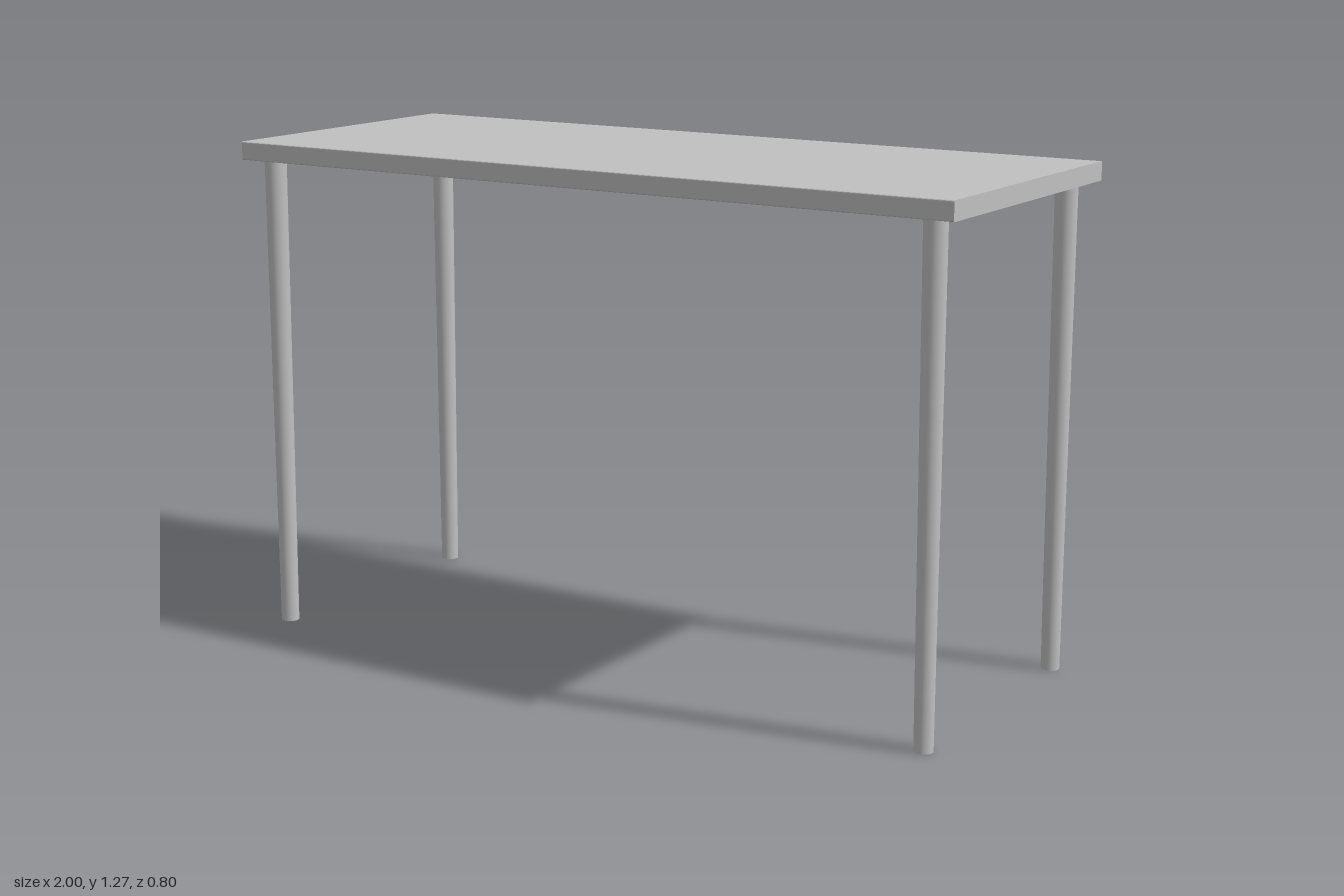
import * as THREE from 'three';

const LENGTH = 2, DEPTH = 0.8, HEIGHT = 1.267, THICKNESS = 0.047;
const UNDERSIDE = HEIGHT - THICKNESS;

// Slab profile with slightly eased long edges, extruded along the length
function tabletopGeometry() {
  const w = DEPTH / 2, h = THICKNESS / 2, r = 0.004;
  const s = new THREE.Shape();
  s.moveTo(-w + r, -h);
  s.lineTo(w - r, -h);
  s.quadraticCurveTo(w, -h, w, -h + r);
  s.lineTo(w, h - r);
  s.quadraticCurveTo(w, h, w - r, h);
  s.lineTo(-w + r, h);
  s.quadraticCurveTo(-w, h, -w, h - r);
  s.lineTo(-w, -h + r);
  s.quadraticCurveTo(-w, -h, -w + r, -h);
  const geo = new THREE.ExtrudeGeometry(s, { depth: LENGTH, bevelEnabled: false, curveSegments: 4 });
  return geo.translate(0, 0, -LENGTH / 2).rotateY(Math.PI / 2);
}

export function createModel() {
  const table = new THREE.Group();
  table.name = 'table';
  const grey = new THREE.MeshStandardMaterial({ color: 0xc0c0c0 });
  grey.name = 'light grey';

  const top = new THREE.Mesh(tabletopGeometry(), grey);
  top.name = 'tabletop';
  top.position.y = UNDERSIDE + THICKNESS / 2;
  table.add(top);

  // Four round legs, tapering gently to the floor
  const legGeometry = new THREE.CylinderGeometry(0.028, 0.023, UNDERSIDE, 32);
  for (const [side, x] of [['Left', 0.933], ['Right', -0.933]]) {
    for (const [end, z] of [['front', 0.35], ['back', -0.35]]) {
      const leg = new THREE.Mesh(legGeometry, grey);
      leg.name = `${end}${side}Leg`;
      leg.position.set(x, UNDERSIDE / 2, z);
      table.add(leg);
    }
  }
  return table;
}
